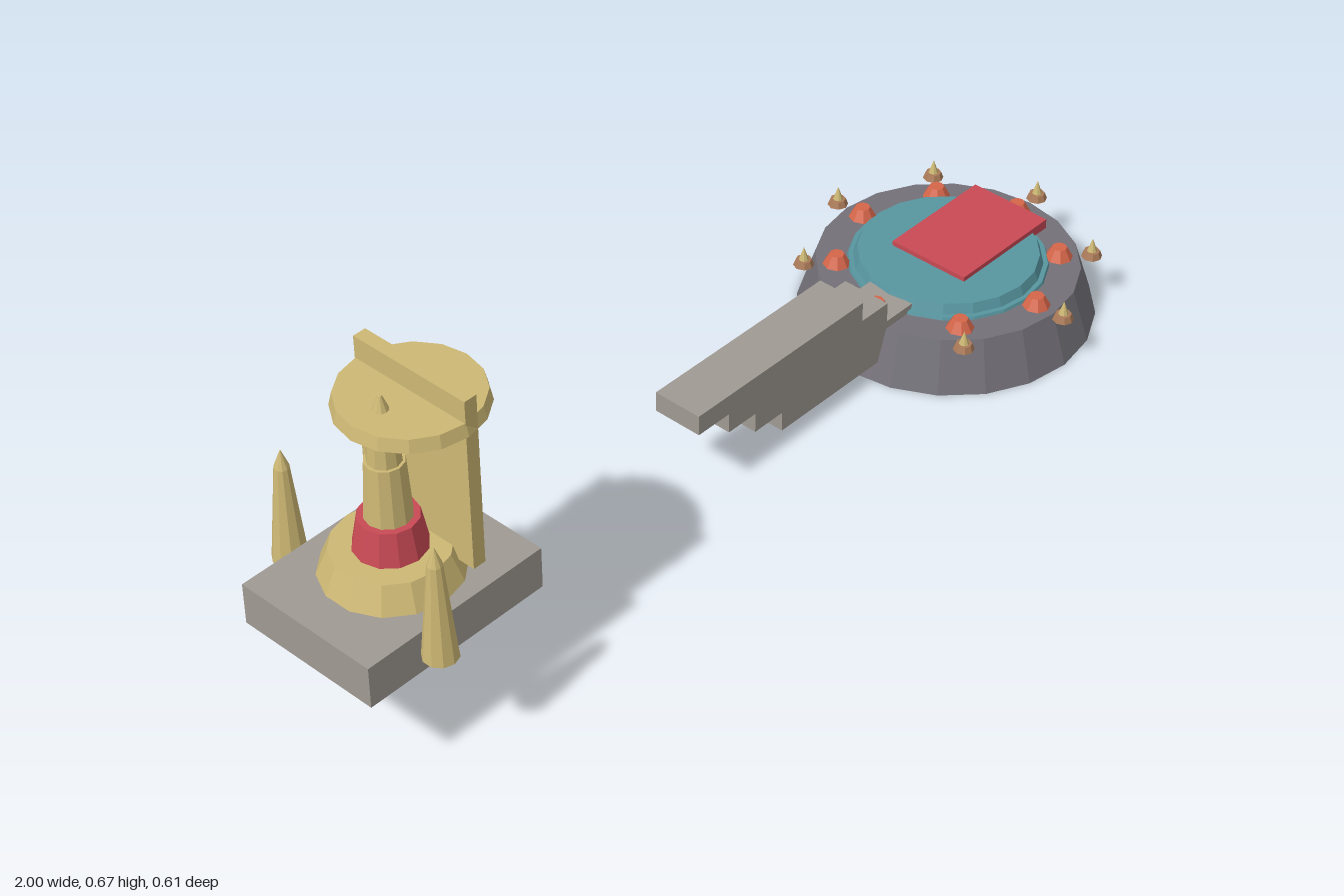
import * as THREE from 'three';

const paint = (name, color) => {
  const m = new THREE.MeshStandardMaterial({ color, flatShading: true });
  m.name = name;
  return m;
};

export function createModel() {
  const root = new THREE.Group();
  root.name = 'shrineAndArena';
  const gold = paint('gold', 0xcdb874);
  const stone = paint('stone', 0xa09a93);
  const slate = paint('slate', 0x737178);
  const teal = paint('teal', 0x57959f);
  const red = paint('red', 0xc94a55);
  const orange = paint('orange', 0xd4654a);
  const brown = paint('brown', 0xaa7a58);

  const add = (name, geo, mat, x, y, z) => {
    const mesh = new THREE.Mesh(geo, mat);
    mesh.name = name;
    mesh.position.set(x, y, z);
    root.add(mesh);
    return mesh;
  };
  // box given by its limits, symmetric in z
  const box = (name, mat, x0, x1, y0, y1, halfZ) =>
    add(name, new THREE.BoxGeometry(x1 - x0, y1 - y0, halfZ * 2), mat, (x0 + x1) / 2, (y0 + y1) / 2, 0);
  // tapered drum standing between two heights
  const drum = (name, mat, x, z, y0, y1, r0, r1, sides) =>
    add(name, new THREE.CylinderGeometry(r1, r0, y1 - y0, sides), mat, x, (y0 + y1) / 2, z);

  // round platform
  const cx = 0.692;
  drum('platformBase', slate, cx, 0, 0, 0.107, 0.297, 0.262, 20);
  drum('poolRim', teal, cx, 0, 0.105, 0.113, 0.2, 0.197, 20);
  drum('pool', teal, cx, 0, 0.112, 0.133, 0.188, 0.18, 20);
  box('redSlab', red, 0.628, 0.889, 0.122, 0.143, 0.09);

  // lamps and spikes around the platform
  for (let i = 0; i < 8; i++) {
    const a = i * Math.PI / 4, c = Math.cos(a), s = Math.sin(a);
    drum('lamp', orange, cx + 0.22 * c, 0.22 * s, 0.107, 0.13, 0.028, 0.015, 8);
    if (i === 4) continue; // the stairs take this place
    const x = cx + 0.285 * c, z = 0.285 * s;
    drum('spikeFoot', brown, x, z, 0.106, 0.119, 0.021, 0.016, 8);
    drum('spike', gold, x, z, 0.119, 0.148, 0.01, 0, 8);
  }

  // stepped bridge as one extruded outline
  const outline = [
    [-0.095, 0.21], [-0.095, 0.167], [-0.013, 0.167], [-0.013, 0.124], [0.06, 0.124], [0.06, 0.081],
    [0.136, 0.081], [0.136, 0.038], [0.515, 0.038], [0.515, 0.124], [0.44, 0.124], [0.44, 0.167],
    [0.365, 0.167], [0.365, 0.21],
  ].map(([x, y]) => new THREE.Vector2(x, y));
  add('stairBridge', new THREE.ExtrudeGeometry(new THREE.Shape(outline), { depth: 0.106, bevelEnabled: false }),
    stone, 0, 0, -0.053);

  // floating shrine
  const sx = -0.8;
  box('shrineBlock', stone, -1, -0.6, 0.197, 0.283, 0.153);
  drum('shrineFoot', gold, sx, 0, 0.283, 0.335, 0.129, 0.107, 14);
  drum('shrineBand', red, sx, 0, 0.335, 0.4, 0.067, 0.055, 12);
  drum('columnLower', gold, sx, 0, 0.4, 0.517, 0.043, 0.036, 12);
  drum('columnUpper', gold, sx, 0, 0.517, 0.598, 0.031, 0.026, 10);
  drum('columnTip', gold, sx, 0, 0.598, 0.65, 0.024, 0.004, 10);
  box('backPanel', gold, -0.735, -0.708, 0.311, 0.667, 0.13);
  drum('roofDisc', gold, -0.733, 0, 0.597, 0.622, 0.135, 0.129, 16);

  // pair of obelisks
  for (const side of [-1, 1]) {
    drum('obelisk', gold, -0.868, side * 0.183, 0.242, 0.44, 0.033, 0.014, 10);
    drum('obeliskTip', gold, -0.868, side * 0.183, 0.44, 0.475, 0.014, 0.001, 10);
  }
  return root;
}
